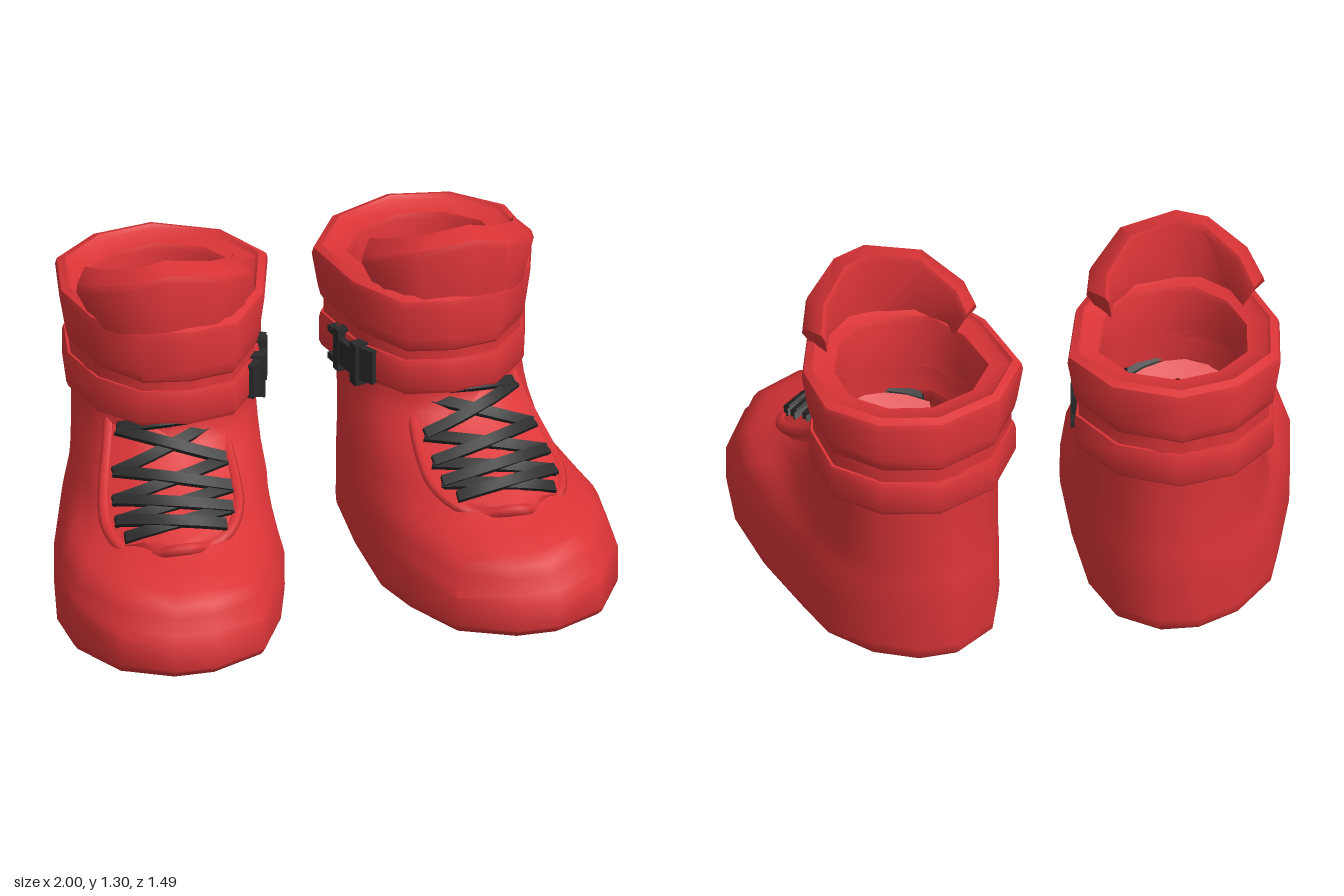
import * as THREE from 'three';
import { toCreasedNormals } from 'three/addons/utils/BufferGeometryUtils.js';

// Skin a list of equal-length rings; rings may be capped or joined end to start
function loft(rings, { end = true, join = false } = {}) {
  const n = rings[0].length, pos = rings.flat(2), idx = [];
  const last = join ? rings.length : rings.length - 1;
  for (let i = 0; i < last; i++) {
    for (let j = 0; j < n; j++) {
      const k = (j + 1) % n, a = i * n, b = ((i + 1) % rings.length) * n;
      idx.push(a + j, a + k, b + k, a + j, b + k, b + j);
    }
  }
  const cap = (r, flip) => {
    const c = pos.length / 3;
    for (let d = 0; d < 3; d++) pos.push(rings[r].reduce((s, p) => s + p[d], 0) / n);
    for (let j = 0; j < n; j++) {
      const a = r * n + j, b = r * n + (j + 1) % n;
      idx.push(c, flip ? b : a, flip ? a : b);
    }
  };
  if (!join) cap(0, true);
  if (!join && end) cap(rings.length - 1, false);
  // Turn the faces outward using the signed volume about the centre
  const mid = [0, 1, 2].map(d => rings.flat().reduce((s, p) => s + p[d], 0) / (n * rings.length));
  const at = i => new THREE.Vector3(pos[3 * i] - mid[0], pos[3 * i + 1] - mid[1], pos[3 * i + 2] - mid[2]);
  let vol = 0;
  for (let t = 0; t < idx.length; t += 3) vol += at(idx[t]).dot(at(idx[t + 1]).cross(at(idx[t + 2])));
  if (vol < 0) idx.reverse();
  const g = new THREE.BufferGeometry();
  g.setAttribute('position', new THREE.Float32BufferAttribute(pos, 3));
  g.setIndex(idx);
  return toCreasedNormals(g, 0.85);
}

// Mirror a geometry across x, restoring the winding
function mirrored(geo) {
  const g = geo.index ? geo.toNonIndexed() : geo.clone();
  g.scale(-1, 1, 1);
  for (const name of ['position', 'normal']) {
    const a = g.attributes[name];
    for (let i = 0; i < a.count; i += 3) {
      const p = [a.getX(i + 1), a.getY(i + 1), a.getZ(i + 1)];
      a.setXYZ(i + 1, a.getX(i + 2), a.getY(i + 2), a.getZ(i + 2));
      a.setXYZ(i + 2, ...p);
    }
  }
  return g;
}

const { lerp, clamp } = THREE.MathUtils;

// Outlines as [x, z]: footprint, ankle shaft and collar
const FOOT = [[.55, .74], [.7, .74], [.88, .64], [.99, .42], [1, .2], [.95, -.05], [.86, -.33], [.8, -.5], [.66, -.65],
  [.5, -.72], [.36, -.71], [.22, -.6], [.16, -.4], [.155, -.1], [.17, .2], [.23, .4], [.35, .64]];
const SHAFT = [[.42, .01], [.54, .01], [.66, -.04], [.75, -.14], [.79, -.22], [.81, -.32], [.8, -.42], [.74, -.56], [.64, -.66],
  [.5, -.7], [.37, -.69], [.24, -.59], [.17, -.43], [.16, -.3], [.19, -.18], [.25, -.1], [.33, -.03]];
const COLLAR = [[.43, -.745], [.65, -.71], [.82, -.57], [.86, -.34], [.8, -.12], [.66, .04], [.48, .07],
  [.3, .04], [.16, -.15], [.08, -.43], [.2, -.635]];

// Collar-shaped ring: x scale, y, z scale
const collarRing = ([sx, y, sz = sx], tilt) => COLLAR.map(([x, z]) => {
  const pz = -.335 + (z + .335) * sz;
  return [.47 + (x - .47) * sx, y + tilt * (pz + .335), pz];
});

// Body levels: [y, width blend, length blend, scale, tilt]; the instep leans outward
const bodyRing = ([y, tx, tz, s = 1, tilt = 0]) => FOOT.map(([x, z], i) => {
  const pz = lerp(SHAFT[i][1], z, tz);
  const px = lerp(SHAFT[i][0], x, tx) + .13 * Math.max(0, tz - tx) * clamp(pz / .2, 0, 1);
  return [.56 + (px - .56) * s, y + tilt * Math.max(0, pz - .1), pz * s];
});

// Instep centre line: [z, y, centre x, half width]
const INSTEP = [[-.045, .68, .54, .19], [.03, .615, .55, .205], [.1, .56, .56, .22], [.2, .5, .575, .235],
  [.3, .45, .59, .235], [.4, .41, .605, .19], [.44, .392, .61, .12]];
function instep(u, z, lift) {
  let i = 0;
  while (i < INSTEP.length - 2 && z > INSTEP[i + 1][0]) i++;
  const a = INSTEP[i], b = INSTEP[i + 1], t = (z - a[0]) / (b[0] - a[0]);
  const [y, cx, w] = [1, 2, 3].map(k => lerp(a[k], b[k], t));
  const drop = u * u * (u < 0 ? .6 : 1);
  return [cx + w * u, y - .05 * drop + lift * .8, z - .08 * drop + lift * .6];
}

// Flat lace across the instep between two rows
function lace(z0, z1, lift) {
  const pts = [];
  for (let i = 0; i <= 6; i++) {
    const t = i / 6;
    pts.push(new THREE.Vector3(...instep(lerp(-.9, .9, t), lerp(z0, z1, t), lift)));
  }
  const normal = new THREE.Vector3(0, .8, .6);
  return loft(pts.map((p, i) => {
    const dir = pts[Math.min(6, i + 1)].clone().sub(pts[Math.max(0, i - 1)]);
    const side = dir.cross(normal).normalize();
    return [[-1, -1], [1, -1], [1, 1], [-1, 1]].map(([a, b]) =>
      p.clone().addScaledVector(side, a * .02).addScaledVector(normal, b * .012).toArray());
  }));
}

export function createModel() {
  const red = new THREE.MeshStandardMaterial({ color: 0xdb3437, side: THREE.DoubleSide });
  red.name = 'red';
  const black = new THREE.MeshStandardMaterial({ color: 0x2a2a2a });
  black.name = 'black';

  const boot = new THREE.Group();
  const add = (name, geo, mat = red) => {
    const m = new THREE.Mesh(geo, mat);
    m.name = name;
    boot.add(m);
  };

  // Hollow shell: sole band, toe, instep and shaft
  add('bootShell', loft([[0, 1, 1, .96, .06], [.025, 1, 1, .995, .06], [.06, 1, 1, 1, .02],
    [.195, 1, 1, .998, -.03], [.222, .93, .967, 1, -.03], [.265, .82, .94, 1, -.01], [.295, .71, .91], [.325, .55, .84],
    [.35, .4, .72], [.38, .27, .59], [.42, .17, .46], [.5, .06, .25], [.55, .02, .145], [.6, 0, .065], [.66, 0, .025],
    [.87, 0, .03]].map(bodyRing), { end: false }));

  // Padded collar and ankle bands
  const band = (rows, tilt = 0) => loft(rows.map(r => collarRing(r, tilt)), { join: true });
  add('collar', band([[.68, .85, .66], [.9, .848, .96], [.92, .86, .985], [.945, .9, .99], [1, 1.03], [.985, 1.053],
    [.91, 1.065], [.88, 1.05], [.7, 1.04, .68], [.68, 1.02, .66]]));
  add('ankleStrap', band([[.82, .662], [.915, .66, .94], [.935, .68, .965], [.935, .772, .965], [.92, .795, .945],
    [.82, .79]], .03));
  add('neckBand', band([[.82, .775], [.895, .775, .91], [.895, .855, .91], [.82, .855]]));

  // Flared tongue rising over the collar: [x, z, top y]
  const tongue = [[.21, -.165, 1.165], [.235, -.08, 1.205], [.36, .045, 1.27], [.56, .065, 1.305],
    [.67, .045, 1.275], [.785, -.08, 1.215], [.82, -.2, 1.165]];
  add('tongue', loft(tongue.map(([x, z, y]) => {
    const point = (s, py, dz) => [.51 + (x - .51) * s, py, z * (py < 1.1 ? .75 : 1) + dz];
    return [point(.9, 1.03, 0), point(1.04, y - .045, 0), point(1.02, y - .02, -.01),
      point(.87, y, -.09), point(.83, y - .02, -.095), point(.76, 1.03, -.07)];
  })));

  // Lace panel with raised rim
  const across = [-1, -.6, -.2, .2, .6, 1];
  add('lacePanel', loft(INSTEP.map(([z]) => [
    ...across.map(u => instep(u, z, .018)), ...across.slice().reverse().map(u => instep(u, z, -.05))])));
  const rows = INSTEP.map(r => r[0]);
  const rimPath = [...rows.map(z => instep(-1, z, .015)), instep(0, .445, .015),
    ...rows.slice().reverse().map(z => instep(1, z, .005))].map(p => new THREE.Vector3(...p));
  add('panelRim', new THREE.TubeGeometry(new THREE.CatmullRomCurve3(rimPath), 40, .022, 6));

  // Criss-cross laces
  const eyelets = [0, .125, .225, .305, .375];
  add('topLace', lace(-.005, -.005, .04), black);
  for (let i = 0; i < eyelets.length - 1; i++) {
    add('laceUnder', lace(eyelets[i], eyelets[i + 1], .029), black);
    add('laceOver', lace(eyelets[i + 1], eyelets[i], .042), black);
  }

  // Side-release buckle on the inner side
  const buckle = (name, w, h, d, dx, dy) => {
    const g = new THREE.BoxGeometry(w, h, d);
    g.translate(dx, dy, 0);
    g.rotateY(Math.atan2(-.96, .28));
    g.translate(.168, .728, -.205);
    add(name, g, black);
  };
  buckle('buckleBody', .12, .1, .05, 0, 0);
  buckle('buckleFrame', .04, .165, .055, .06, 0);
  buckle('buckleFrame', .035, .165, .055, -.06, 0);
  for (const s of [-1, 1]) buckle('buckleProng', .07, .025, .045, -.09, s * .055);
  const clip = new THREE.BoxGeometry(.07, .13, .04);
  clip.rotateY(Math.atan2(-.8, .6));
  clip.translate(.211, .735, -.115);
  add('buckleClip', clip, black);

  // Pair of boots
  boot.name = 'leftBoot';
  const other = new THREE.Group();
  other.name = 'rightBoot';
  for (const m of boot.children) {
    const copy = new THREE.Mesh(mirrored(m.geometry), m.material);
    copy.name = m.name;
    other.add(copy);
  }
  const model = new THREE.Group();
  model.name = 'boots';
  model.add(boot, other);
  return model;
}
